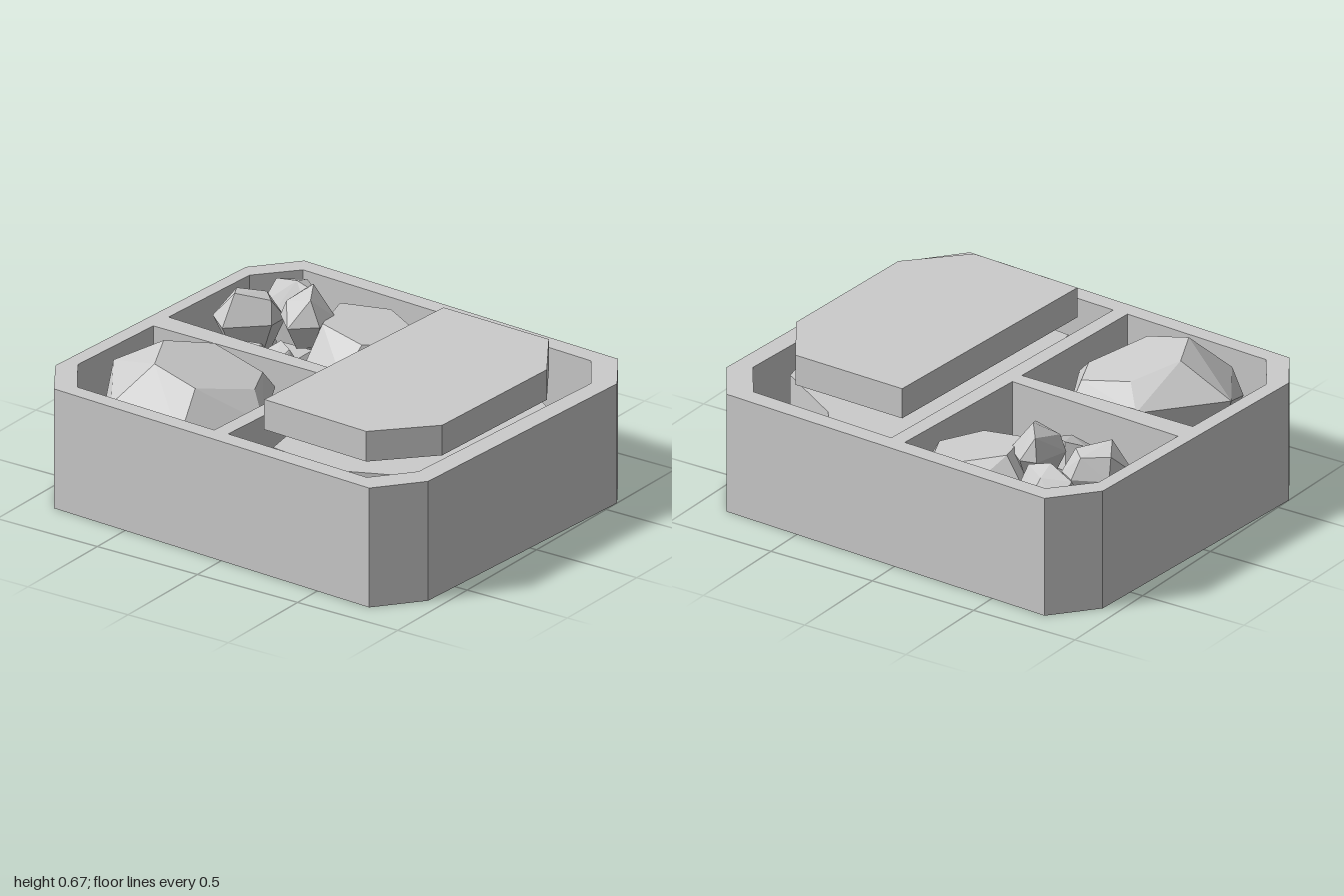
import * as THREE from 'three';
import { ConvexGeometry } from 'three/addons/geometries/ConvexGeometry.js';

const grey = new THREE.MeshStandardMaterial({ color: 0xcccccc, flatShading: true });
grey.name = 'plain grey';

// Vertical prism from [x, z] outlines, standing between two heights
function prism(name, outline, y0, y1, holes = []) {
  const toPoints = (o) => o.map(([x, z]) => new THREE.Vector2(x, -z)).reverse();
  const shape = new THREE.Shape(toPoints(outline));
  shape.holes = holes.map((h) => new THREE.Path(toPoints(h)));
  const geometry = new THREE.ExtrudeGeometry(shape, { depth: y1 - y0, bevelEnabled: false });
  geometry.rotateX(-Math.PI / 2).translate(0, y0, 0);
  const mesh = new THREE.Mesh(geometry, grey);
  mesh.name = name;
  return mesh;
}

function hull(name, points) {
  const mesh = new THREE.Mesh(new ConvexGeometry(points.map((p) => new THREE.Vector3(...p))), grey);
  mesh.name = name;
  return mesh;
}

// Faceted lump: widest at the outline, own cap points above, shrunk ring below
function lump(name, outline, yMid, yBottom, cap) {
  const n = outline.length;
  const cx = outline.reduce((s, p) => s + p[0], 0) / n;
  const cz = outline.reduce((s, p) => s + p[1], 0) / n;
  const ring = (k, y) => outline.map(([x, z]) => [cx + (x - cx) * k, y, cz + (z - cz) * k]);
  return hull(name, [...ring(1, yMid), ...ring(0.6, yBottom), ...cap]);
}

export function createModel() {
  const model = new THREE.Group();
  model.name = 'lunchBox';
  const floor = 0.13, rim = 0.535;

  // Box with three compartments
  const outer = [[-0.77, -0.88], [0.86, -0.79], [1, -0.58], [0.93, 0.68],
    [0.77, 0.875], [-0.87, 0.78], [-1, 0.58], [-0.93, -0.69]];
  const compartments = [
    [[-0.72, -0.8], [0, -0.76], [-0.05, -0.04], [-0.9, -0.09], [-0.87, -0.63]],
    [[-0.9, 0.02], [-0.05, 0.03], [-0.09, 0.75], [-0.8, 0.71], [-0.93, 0.52]],
    [[0.07, -0.755], [0.78, -0.71], [0.91, -0.52], [0.84, 0.62], [0.7, 0.79], [-0.02, 0.75]],
  ];
  model.add(prism('boxBase', outer, 0, floor));
  model.add(prism('boxWalls', outer, floor, rim, compartments));

  // Slab lying over the long compartment
  model.add(prism('topSlab', [[0.14, -0.57], [0.68, -0.55], [0.85, -0.29],
    [0.82, 0.42], [0.6, 0.65], [0.07, 0.62]], 0.53, 0.665));

  // Flat pieces stacked beneath it
  model.add(prism('upperSlice', [[0.1, -0.58], [0.27, -0.7], [0.45, -0.64], [0.52, -0.55],
    [0.84, -0.35], [0.89, -0.1], [0.86, 0.4], [0.71, 0.53], [0.46, 0.64], [0.1, 0.6],
    [0.02, 0.12], [0.1, -0.02]], 0.3, 0.45));
  model.add(prism('lowerSlice', [[0.12, -0.6], [0.42, -0.69], [0.68, -0.55], [0.87, -0.3],
    [0.85, 0.38], [0.5, 0.65], [0.25, 0.73], [0.07, 0.71], [0, 0.63], [0.02, 0.12]], floor, 0.3));

  // Large faceted ball with a tilted flat cap
  model.add(hull('largeBall', [
    [-0.52, 0.593, 0.13], [-0.27, 0.529, 0.14], [-0.2, 0.527, 0.3],
    [-0.33, 0.585, 0.54], [-0.54, 0.639, 0.53], [-0.64, 0.644, 0.32],
    [-0.87, 0.51, 0.35], [-0.62, 0.52, 0.02], [-0.27, 0.43, 0.05],
    [-0.1, 0.43, 0.38], [-0.3, 0.42, 0.7], [-0.66, 0.48, 0.67],
    [-0.71, 0.36, 0.68], [-0.34, 0.3, 0.71], [-0.8, 0.3, 0.35],
    [-0.6, floor, 0.2], [-0.3, floor, 0.2], [-0.3, floor, 0.5], [-0.6, floor, 0.5],
  ]));

  // Medium ball
  model.add(hull('mediumBall', [
    [-0.24, 0.5, -0.74], [-0.09, 0.475, -0.68], [-0.03, 0.465, -0.55],
    [-0.15, 0.485, -0.4], [-0.36, 0.521, -0.42], [-0.41, 0.53, -0.62],
    [-0.5, 0.42, -0.64], [-0.34, 0.43, -0.78], [-0.04, 0.36, -0.75],
    [-0.01, 0.36, -0.5], [-0.17, 0.37, -0.28], [-0.38, 0.38, -0.33],
    [-0.4, floor, -0.6], [-0.1, floor, -0.65], [-0.12, floor, -0.4], [-0.38, floor, -0.4],
  ]));

  // Small pieces heaped around it: outline, middle height, bottom height, cap
  const pieces = [
    [[[-0.8, -0.62], [-0.75, -0.77], [-0.62, -0.79], [-0.51, -0.7], [-0.53, -0.57], [-0.72, -0.6]], 0.43, 0.26,
      [[-0.77, 0.53, -0.68], [-0.65, 0.535, -0.73], [-0.53, 0.53, -0.64], [-0.64, 0.565, -0.64]]],
    [[[-0.86, -0.35], [-0.82, -0.48], [-0.68, -0.55], [-0.6, -0.5], [-0.6, -0.4], [-0.75, -0.26]], 0.46, 0.33,
      [[-0.81, 0.56, -0.45], [-0.75, 0.585, -0.35], [-0.63, 0.55, -0.44], [-0.7, 0.55, -0.51]]],
    [[[-0.57, -0.42], [-0.53, -0.58], [-0.46, -0.6], [-0.36, -0.52], [-0.36, -0.4], [-0.46, -0.31]], 0.51, 0.4,
      [[-0.46, 0.645, -0.5], [-0.51, 0.61, -0.56], [-0.42, 0.61, -0.42], [-0.54, 0.58, -0.42]]],
    [[[-0.75, -0.27], [-0.66, -0.36], [-0.57, -0.38], [-0.54, -0.26], [-0.58, -0.18], [-0.72, -0.19]], 0.32, 0.2,
      [[-0.67, 0.42, -0.28], [-0.58, 0.42, -0.3], [-0.6, 0.39, -0.22]]],
    [[[-0.57, -0.22], [-0.5, -0.32], [-0.38, -0.3], [-0.34, -0.2], [-0.36, -0.07], [-0.5, -0.07]], 0.36, 0.24,
      [[-0.47, 0.47, -0.28], [-0.4, 0.46, -0.24], [-0.41, 0.43, -0.14], [-0.52, 0.43, -0.2]]],
    // Hidden piece at the bottom of the heap
    [[[-0.78, -0.5], [-0.7, -0.7], [-0.45, -0.7], [-0.4, -0.3], [-0.47, -0.16], [-0.72, -0.22]], 0.2, floor,
      [[-0.65, 0.32, -0.55], [-0.5, 0.32, -0.55], [-0.5, 0.32, -0.3]]],
  ];
  pieces.forEach(([outline, mid, bottom, cap], i) => {
    model.add(lump('smallPiece' + (i + 1), outline, mid, bottom, cap));
  });

  return model;
}
